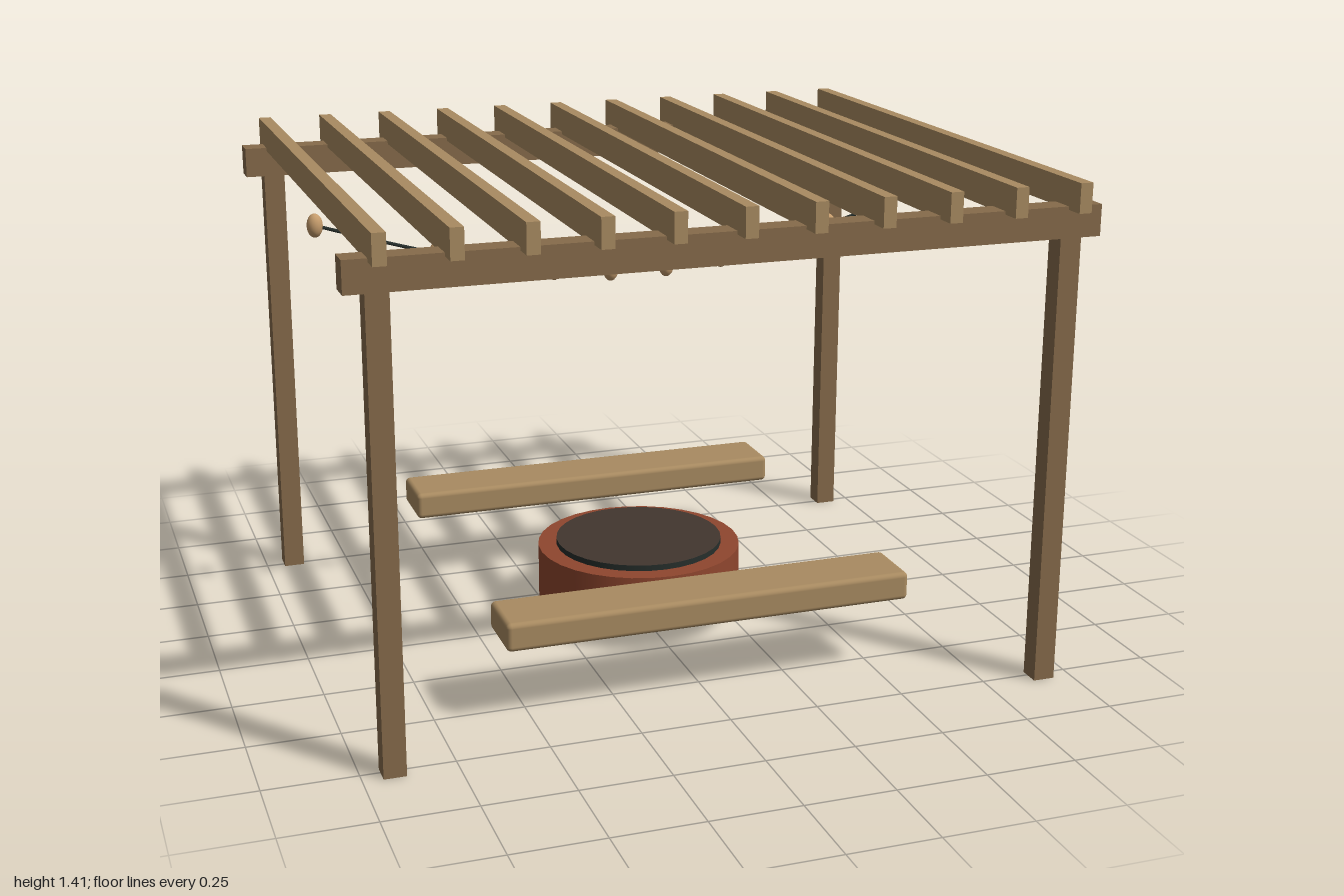
import * as THREE from 'three';
import { RoundedBoxGeometry } from 'three/addons/geometries/RoundedBoxGeometry.js';

const material = (name, color) => {
  const m = new THREE.MeshStandardMaterial({ color });
  m.name = name;
  return m;
};

export function createModel() {
  const darkWood = material('dark wood', 0x866b4b);
  const lightWood = material('light wood', 0xa98b61);
  const brick = material('brick red', 0x8f462e);
  const ash = material('charcoal', 0x42362f);
  const iron = material('dark iron', 0x262e2b);
  const bulbTan = material('warm bulb', 0xc59c6c);

  const model = new THREE.Group();
  model.name = 'pergola';
  const add = (name, geometry, mat, x, y, z) => {
    const mesh = new THREE.Mesh(geometry, mat);
    mesh.name = name;
    mesh.position.set(x, y, z);
    model.add(mesh);
    return mesh;
  };

  // Posts, beams and benches, mirrored front to back
  const postGeo = new THREE.BoxGeometry(0.06, 1.26, 0.06);
  const beamGeo = new THREE.BoxGeometry(2, 0.085, 0.07);
  const benchGeo = new RoundedBoxGeometry(1.15, 0.08, 0.18, 3, 0.014);
  for (const side of [1, -1]) {
    const end = side > 0 ? 'front' : 'back';
    add(end + 'Beam', beamGeo, darkWood, 0, 1.2985, side * 0.76);
    add(end + 'Bench', benchGeo, lightWood, 0, 0.256, side * 0.527);
    for (const x of [0.917, -0.917]) {
      add(end + (x > 0 ? 'LeftPost' : 'RightPost'), postGeo, darkWood, x, 0.63, side * 0.76);
    }
  }

  // Rafters, slightly let into the beams
  const rafterGeo = new THREE.BoxGeometry(0.035, 0.08, 1.7);
  for (let i = 0; i < 11; i++) {
    add('rafter', rafterGeo, lightWood, -0.92 + i * 0.184, 1.372, 0);
  }

  // Fire pit: brick drum with a dark hearth disc
  const midZ = -0.024;
  add('firePit', new THREE.CylinderGeometry(0.298, 0.298, 0.16, 32), brick, 0, 0.148, midZ);
  add('hearth', new THREE.CylinderGeometry(0.244, 0.244, 0.04, 32), [iron, ash, ash], 0, 0.225, midZ);

  // Sagging string of lights
  const points = [];
  for (let i = 0; i < 12; i++) {
    const t = i / 11;
    points.push(new THREE.Vector3(-0.92 + 1.84 * t, 1.248 - 0.187 * Math.sin(Math.PI * t), midZ));
  }
  const wire = new THREE.CatmullRomCurve3(points);
  add('lightWire', new THREE.TubeGeometry(wire, 44, 0.005, 6), iron, 0, 0, 0);
  const bulbGeo = new THREE.SphereGeometry(0.022, 16, 12).scale(1, 1.5, 1);
  for (const p of points) add('lightBulb', bulbGeo, bulbTan, p.x, p.y, p.z);

  return model;
}
